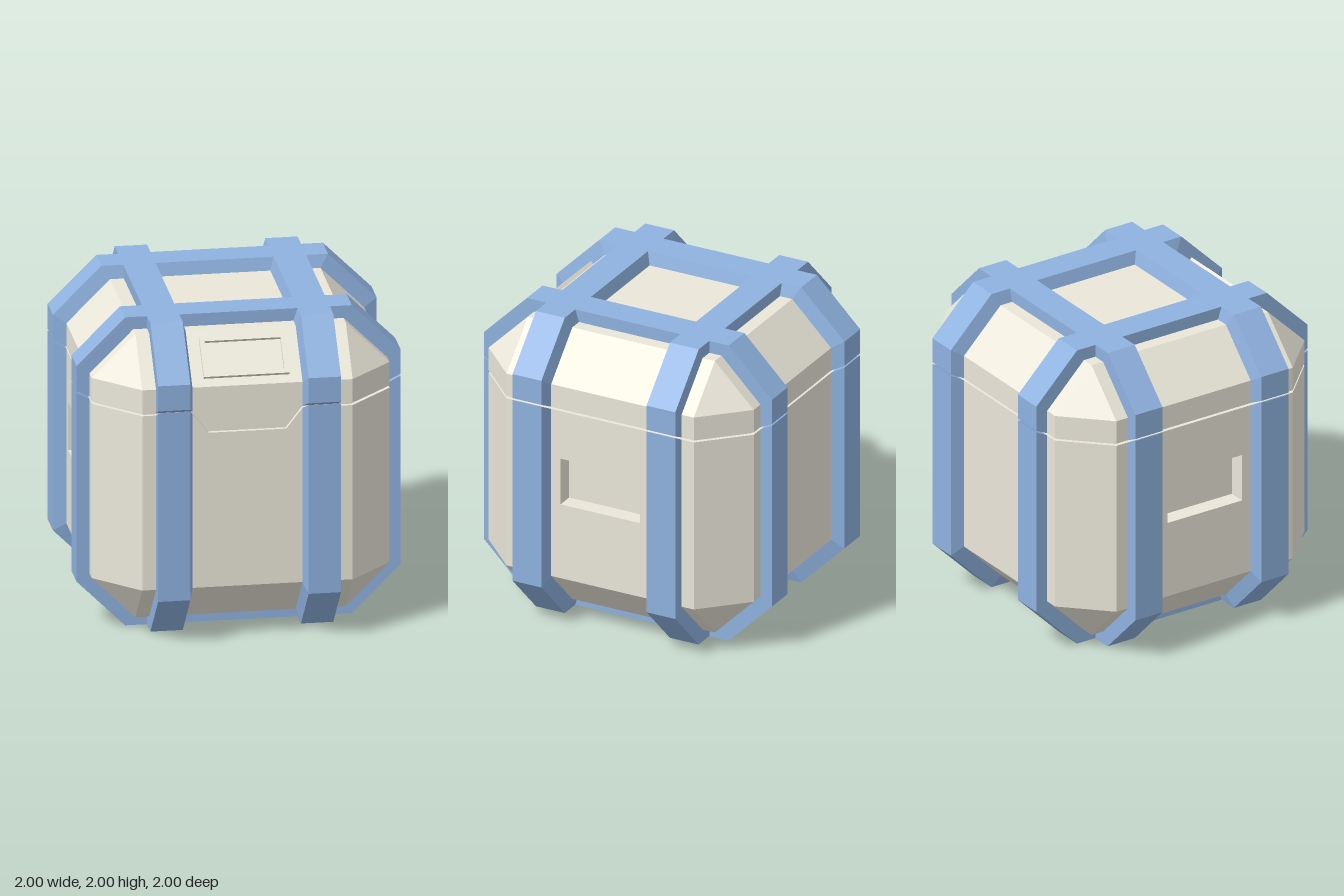
import * as THREE from 'three';

const cream = new THREE.MeshStandardMaterial({ color: 0xebe7da, flatShading: true });
const blue = new THREE.MeshStandardMaterial({ color: 0x8fb2e0, flatShading: true });

// Collects quads and polygons (corners counter-clockwise from outside)
function faceBuilder() {
  const pos = [];
  const poly = (...p) => {
    for (let i = 1; i < p.length - 1; i++) pos.push(...p[0], ...p[i], ...p[i + 1]);
  };
  const build = () => {
    const g = new THREE.BufferGeometry();
    g.setAttribute('position', new THREE.Float32BufferAttribute(pos, 3));
    g.computeVertexNormals();
    return g;
  };
  return { poly, build };
}

function addMesh(parent, name, geometry, material) {
  const m = new THREE.Mesh(geometry, material);
  m.name = name;
  parent.add(m);
  return m;
}

// Horizontal octagon section: r = half extent, c = half width of the flats.
// dip lowers the middle of the front edge to form the lid tongue.
function section(y, r, c, dip = 0) {
  return [
    [-c, y, r], [-0.34, y, r], [-0.24, y - dip, r], [0.24, y - dip, r], [0.34, y, r], [c, y, r],
    [r, y, c], [r, y, 0.275], [r, y, -0.275], [r, y, -c],
    [c, y, -r], [-c, y, -r],
    [-r, y, -c], [-r, y, -0.275], [-r, y, 0.275], [-r, y, c],
  ];
}

const same = (a, b) => a.every((v, i) => Math.abs(v - b[i]) < 1e-6);

// Skins neighbouring sections; skip(row, column) leaves an opening
function loft(f, rings, skip = () => false) {
  for (let j = 0; j < rings.length - 1; j++) {
    const lo = rings[j], hi = rings[j + 1], n = lo.length;
    for (let i = 0; i < n; i++) {
      if (skip(j, i)) continue;
      const k = (i + 1) % n;
      const p = [lo[i], lo[k], hi[k], hi[i]].filter((q, s, all) => !same(q, all[(s + 1) % 4]));
      if (p.length > 2) f.poly(...p);
    }
  }
}

const R = 0.92, C = 0.65, DIP = 0.13;

function bodyGeometry() {
  const f = faceBuilder();
  const rings = [
    section(0.08, C, C), section(0.35, R, C), section(0.85, R, C), section(1.16, R, C),
    section(1.482, R, C, DIP), section(1.482, R - 0.025, C - 0.01, DIP),
  ];
  loft(f, rings, (j, i) => j === 2 && (i === 7 || i === 13));
  f.poly([-C, 0.08, -C], [C, 0.08, -C], [C, 0.08, C], [-C, 0.08, C]);
  // Recessed hand grips in both sides
  for (const i of [7, 13]) {
    const rim = [rings[2][i], rings[2][i + 1], rings[3][i + 1], rings[3][i]];
    const floor = rim.map(([x, y, z]) => [x - Math.sign(x) * 0.11, y, z]);
    for (let k = 0; k < 4; k++) {
      const n = (k + 1) % 4;
      f.poly(rim[k], rim[n], floor[n], floor[k]);
    }
    f.poly(...floor);
  }
  return f.build();
}

function lidGeometry() {
  const f = faceBuilder();
  loft(f, [
    section(1.482, R - 0.025, C - 0.01, DIP), section(1.497, R - 0.025, C - 0.01, DIP),
    section(1.497, R, C, DIP), section(1.65, R, C), section(1.92, C, C),
  ]);
  f.poly([-C, 1.92, C], [C, 1.92, C], [C, 1.92, -C], [-C, 1.92, -C]);
  return f.build();
}

// Half of an octagonal strap lying in the xy plane near the +z side.
// The side towards the middle is slanted; the ends slope along the lid seam.
function strapGeometry(outer, inner) {
  const f = faceBuilder();
  const at = (p, z) => [p[0], p[1] + 1, z];
  const ol = outer.map(p => at(p, 0.365)), oh = outer.map(p => at(p, 0.565));
  const il = inner.map(p => at(p, 0.34)), ih = inner.map(p => at(p, 0.565));
  const e = outer.length - 1;
  for (let i = 0; i < e; i++) {
    const k = i + 1;
    f.poly(ol[i], ol[k], oh[k], oh[i]);
    f.poly(ih[i], oh[i], oh[k], ih[k]);
    f.poly(ol[i], il[i], il[k], ol[k]);
  }
  f.poly(il[0], ol[0], oh[0], ih[0]);
  f.poly(ih[e], oh[e], ol[e], il[e]);
  return f.build();
}

// Path over the top (s = 1) or under the bottom (s = -1), counter-clockwise
const strapPath = (s, r, c, end) =>
  [[r, end], [r, s * c], [c, s * r], [-c, s * r], [-r, s * c], [-r, end]]
    .map(([u, v]) => [u * s, v]);

function rect(Type, w, h) {
  const p = new Type();
  p.moveTo(-w, -h);
  p.lineTo(w, -h);
  p.lineTo(w, h);
  p.lineTo(-w, h);
  p.closePath();
  return p;
}

export function createModel() {
  const model = new THREE.Group();
  model.name = 'crate';

  addMesh(model, 'body', bodyGeometry(), cream);
  addMesh(model, 'lid', lidGeometry(), cream);

  // Raised frame on the front slope of the lid
  const shape = rect(THREE.Shape, 0.265, 0.135);
  shape.holes.push(rect(THREE.Path, 0.235, 0.105));
  const frame = addMesh(model, 'lidFrame',
    new THREE.ExtrudeGeometry(shape, { depth: 0.025, bevelEnabled: false }), cream);
  frame.position.set(0, 1.785, 0.785);
  frame.rotation.x = -Math.PI / 4;

  // Four straps, each split at the lid seam
  const upper = strapGeometry(strapPath(1, 1, 0.7, 0.537), strapPath(1, R, C, 0.497));
  const lower = strapGeometry(strapPath(-1, 1, 0.7, 0.525), strapPath(-1, R, C, 0.482));
  ['frontStrap', 'leftStrap', 'backStrap', 'rightStrap'].forEach((name, i) => {
    const strap = new THREE.Group();
    strap.name = name;
    strap.rotation.y = i * Math.PI / 2;
    addMesh(strap, 'upperStrap', upper, blue);
    addMesh(strap, 'lowerStrap', lower, blue);
    model.add(strap);
  });

  return model;
}
